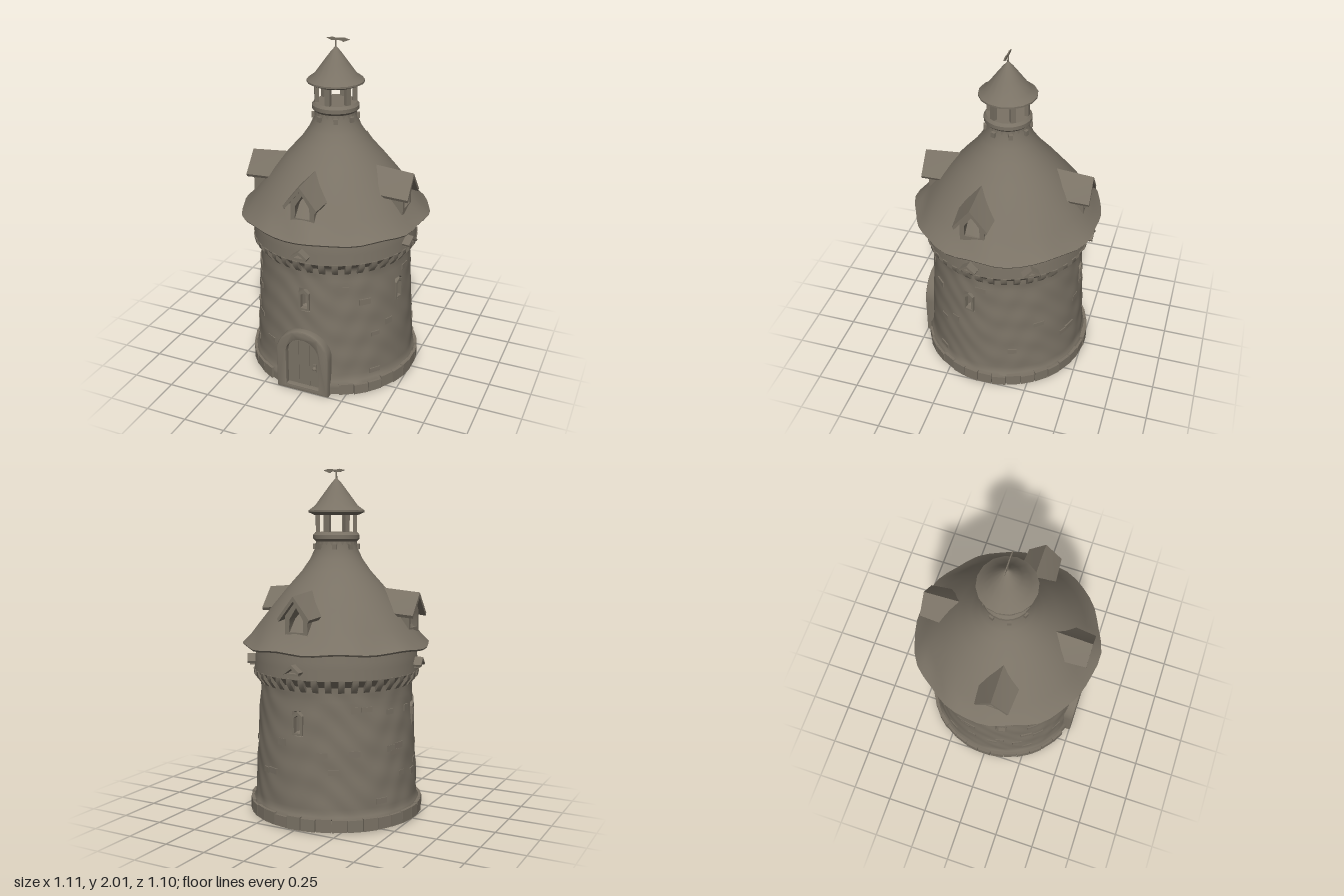
import * as THREE from 'three';
import { toCreasedNormals } from 'three/addons/utils/BufferGeometryUtils.js';

const stone = new THREE.MeshStandardMaterial({ color: 0x7a7265 });
stone.name = 'weathered stone';

// small seeded random
let seed = 7;
const rnd = () => (seed = (seed * 16807) % 2147483647) / 2147483647;

function add(parent, name, geo, x = 0, y = 0, z = 0, crease = 0.6) {
  const m = new THREE.Mesh(toCreasedNormals(geo, crease), stone);
  m.name = name;
  m.position.set(x, y, z);
  parent.add(m);
  return m;
}

// group whose local +z points outward at the given angle
function outward(parent, name, angle) {
  const g = new THREE.Group();
  g.name = name;
  g.rotation.y = angle;
  parent.add(g);
  return g;
}

const pts = (list) => list.map(([x, y]) => new THREE.Vector2(x, y));
const poly = (list) => new THREE.Shape(pts(list));
function extrude(shape, z0, z1, bevel = 0) {
  const geo = new THREE.ExtrudeGeometry(shape, {
    depth: z1 - z0 - 2 * bevel, bevelEnabled: bevel > 0, bevelSize: bevel,
    bevelThickness: bevel, bevelSegments: 2, curveSegments: 12,
  });
  return geo.translate(0, 0, z0 + bevel);
}
function arch(w, top, bottom = 0, Type = THREE.Shape) {
  const s = new Type();
  s.moveTo(-w, bottom).lineTo(w, bottom).lineTo(w, top - w);
  s.absarc(0, top - w, w, 0, Math.PI, false);
  s.lineTo(-w, bottom);
  return s;
}

const windowAngles = [0, Math.PI, 1.33, -1.33];
const wallProfile = [[0.5, 0], [0.5, 0.06], [0.483, 0.09], [0.475, 0.25], [0.462, 0.5], [0.448, 0.74],
  [0.45, 0.8], [0.484, 0.84], [0.478, 0.92], [0.465, 1.01]];
function wallRadius(y) {
  for (let i = 1; i < wallProfile.length; i++) {
    const [r0, y0] = wallProfile[i - 1], [r1, y1] = wallProfile[i];
    if (y <= y1) return r0 + (r1 - r0) * (y - y0) / (y1 - y0);
  }
  return 0.465;
}

function buildWall(root) {
  const profile = [[0, 0]];
  for (let y = 0; y <= 1.005; y += 0.02) profile.push([wallRadius(y), y]);
  profile.push([0, 1.0]);
  const geo = new THREE.LatheGeometry(pts(profile), 160);
  const p = geo.attributes.position;
  for (let i = 0; i < p.count; i++) {
    const x = p.getX(i), y = p.getY(i), z = p.getZ(i), r = Math.hypot(x, z);
    if (r < 0.1) continue;
    const a = Math.atan2(x, z);
    let d = y > 0.05 && y < 0.78 ? 0.003 * Math.sin(a * 11 + 9 * y) * Math.sin(y * 31 + Math.sin(a * 5) * 2) : 0;
    // recess the windows and the doorway
    for (const w of windowAngles) {
      const off = Math.atan2(Math.sin(a - w), Math.cos(a - w));
      if (Math.abs(off) * r < 0.025 && y > 0.53 && y < 0.64) d = -0.05;
    }
    if (z > 0 && Math.abs(x) < 0.125 && y < 0.36) d = -0.05;
    p.setX(i, x * (1 + d / r));
    p.setZ(i, z * (1 + d / r));
  }
  add(root, 'towerWall', geo);

  // rough stones standing slightly out of the wall
  for (let i = 0; i < 34; i++) {
    const a = 0.5 + rnd() * (Math.PI * 2 - 1), y = 0.12 + rnd() * 0.6;
    if (windowAngles.some((w) => Math.abs(Math.sin((a - w) / 2)) < 0.08) && y > 0.45) continue;
    const g = outward(root, 'wallStone', a);
    add(g, 'stone', new THREE.BoxGeometry(0.05 + rnd() * 0.03, 0.025 + rnd() * 0.015, 0.02), 0, y, wallRadius(y) - 0.006);
  }
  // footing blocks
  const n = 36;
  for (let i = 3; i <= n - 3; i++) {
    const g = outward(root, 'footing', (i / n) * Math.PI * 2);
    const h = 0.06 + rnd() * 0.016;
    add(g, 'footingBlock', new THREE.BoxGeometry(0.084, h, 0.05), 0, h / 2, 0.484 + rnd() * 0.006);
  }
  // corbels below the gallery
  const side = poly([[0.42, 0.765], [0.452, 0.77], [0.487, 0.815], [0.49, 0.845], [0.42, 0.845]]);
  for (let i = 0; i < 40; i++) {
    const g = outward(root, 'corbel', ((i + 0.5) / 40) * Math.PI * 2);
    const geo = extrude(side, -0.017, 0.017).rotateY(-Math.PI / 2);
    add(g, 'corbelBlock', geo);
  }
}

function buildDoor(root) {
  const surround = arch(0.155, 0.39);
  surround.holes.push(arch(0.112, 0.352, 0.012, THREE.Path));
  add(root, 'doorSurround', extrude(surround, 0.41, 0.505, 0.01));
  add(root, 'door', extrude(arch(0.108, 0.35), 0.42, 0.472));
  add(root, 'doorStep', new THREE.BoxGeometry(0.22, 0.02, 0.07), 0, 0.01, 0.468);
  for (const x of [-0.035, 0.035]) add(root, 'doorBatten', new THREE.BoxGeometry(0.006, 0.3, 0.006), x, 0.17, 0.473);
  add(root, 'doorHandle', new THREE.SphereGeometry(0.013, 10, 8), 0.07, 0.155, 0.482);
  add(root, 'handlePlate', new THREE.BoxGeometry(0.018, 0.05, 0.008), 0.07, 0.155, 0.474);
}

function buildWindows(root) {
  windowAngles.forEach((a) => {
    const g = outward(root, 'window', a);
    const frame = poly([[-0.032, 0.525], [0.032, 0.525], [0.032, 0.635], [0, 0.66], [-0.032, 0.635]]);
    frame.holes.push(new THREE.Path(pts([[-0.02, 0.537], [0.02, 0.537], [0.02, 0.622], [0, 0.638], [-0.02, 0.622]])));
    add(g, 'windowFrame', extrude(frame, 0.435, 0.464));
  });
}

function buildRoof(root) {
  const roof = new THREE.LatheGeometry(pts([[0.44, 1.0], [0.545, 0.985], [0.552, 0.995], [0.505, 1.04], [0.46, 1.1], [0.37, 1.215],
    [0.28, 1.325], [0.2, 1.415], [0.152, 1.485], [0.122, 1.55], [0.118, 1.6]]), 48);
  const p = roof.attributes.position;
  for (let i = 0; i < p.count; i++) {
    const x = p.getX(i), z = p.getZ(i), r = Math.hypot(x, z), a = Math.atan2(x, z);
    if (r < 0.5) continue;
    const k = 1 + 0.01 * Math.sin(a * 7 + 1) + 0.008 * Math.sin(a * 12);
    p.setXYZ(i, x * k, p.getY(i) + 0.006 * Math.sin(a * 9), z * k);
  }
  add(root, 'mainRoof', roof, 0, 0, 0, 0.7);

  // dormers; the side pair sits a little forward
  [[0, 0], [Math.PI, 0], [Math.PI / 2, 0.07], [-Math.PI / 2, 0.07]].forEach(([a, shift]) => {
    const g = outward(root, 'dormer', a);
    g.position.z = shift;
    const wall = poly([[-0.07, 1.07], [0.07, 1.07], [0.07, 1.19], [0, 1.28], [-0.07, 1.19]]);
    wall.holes.push(new THREE.Path(pts([[-0.045, 1.1], [0.045, 1.1], [0.042, 1.17], [0, 1.235], [-0.042, 1.17]])));
    add(g, 'dormerWall', extrude(wall, 0.28, 0.465));
    const cover = extrude(poly([[0, 1.3], [-0.1, 1.175], [-0.092, 1.158], [0, 1.272], [0.092, 1.158], [0.1, 1.175]]), 0.2, 0.5);
    const q = cover.attributes.position;
    for (let i = 0; i < q.count; i++) if (q.getZ(i) < 0.3) {
      q.setX(i, q.getX(i) * 1.25);
      q.setY(i, q.getY(i) + 0.025);
    }
    add(g, 'dormerRoof', cover);
  });
}

function buildVents(root) {
  [0, Math.PI, 1.4, -1.4, 2.11].forEach((a) => {
    const g = outward(root, 'ventHood', a);
    add(g, 'hood', extrude(poly([[0, 0.928], [-0.05, 0.888], [-0.045, 0.876], [0, 0.908], [0.045, 0.876], [0.05, 0.888]]), 0.46, 0.525));
    add(g, 'ventSill', new THREE.BoxGeometry(0.075, 0.012, 0.05), 0, 0.873, 0.485);
  });
}

function buildLantern(root) {
  const base = [[0, 1.54], [0.122, 1.54], [0.12, 1.585], [0.135, 1.6], [0.135, 1.622], [0.122, 1.638], [0, 1.638]];
  add(root, 'lanternBase', new THREE.LatheGeometry(pts(base), 24));
  for (let i = 0; i < 8; i++) {
    const g = outward(root, 'lanternBracket', ((i + 0.5) / 8) * Math.PI * 2);
    add(g, 'bracket', new THREE.BoxGeometry(0.025, 0.03, 0.03), 0, 1.555, 0.122);
  }
  for (let i = 0; i < 6; i++) {
    const g = outward(root, 'lanternPost', (i / 6) * Math.PI * 2);
    add(g, 'post', new THREE.BoxGeometry(0.03, 0.13, 0.024), 0, 1.69, 0.108);
  }
  const cap = [[0, 1.735], [0.125, 1.735], [0.164, 1.752], [0.164, 1.762], [0.125, 1.79], [0.075, 1.858], [0.03, 1.918], [0, 1.952]];
  add(root, 'lanternRoof', new THREE.LatheGeometry(pts(cap), 16), 0, 0, 0, 0.7);
  // weathervane
  add(root, 'vaneRod', new THREE.CylinderGeometry(0.004, 0.006, 0.07, 8), 0, 1.96, 0);
  const vane = poly([[-0.055, 1.992], [-0.025, 1.98], [0.03, 1.984], [0.045, 1.976], [0.085, 1.992], [0.05, 2.0], [0.0, 1.995], [-0.02, 1.999]]);
  add(root, 'vane', extrude(vane, -0.003, 0.003));
}

export function createModel() {
  const root = new THREE.Group();
  root.name = 'roundTower';
  buildWall(root);
  buildDoor(root);
  buildWindows(root);
  buildRoof(root);
  buildVents(root);
  buildLantern(root);
  return root;
}
